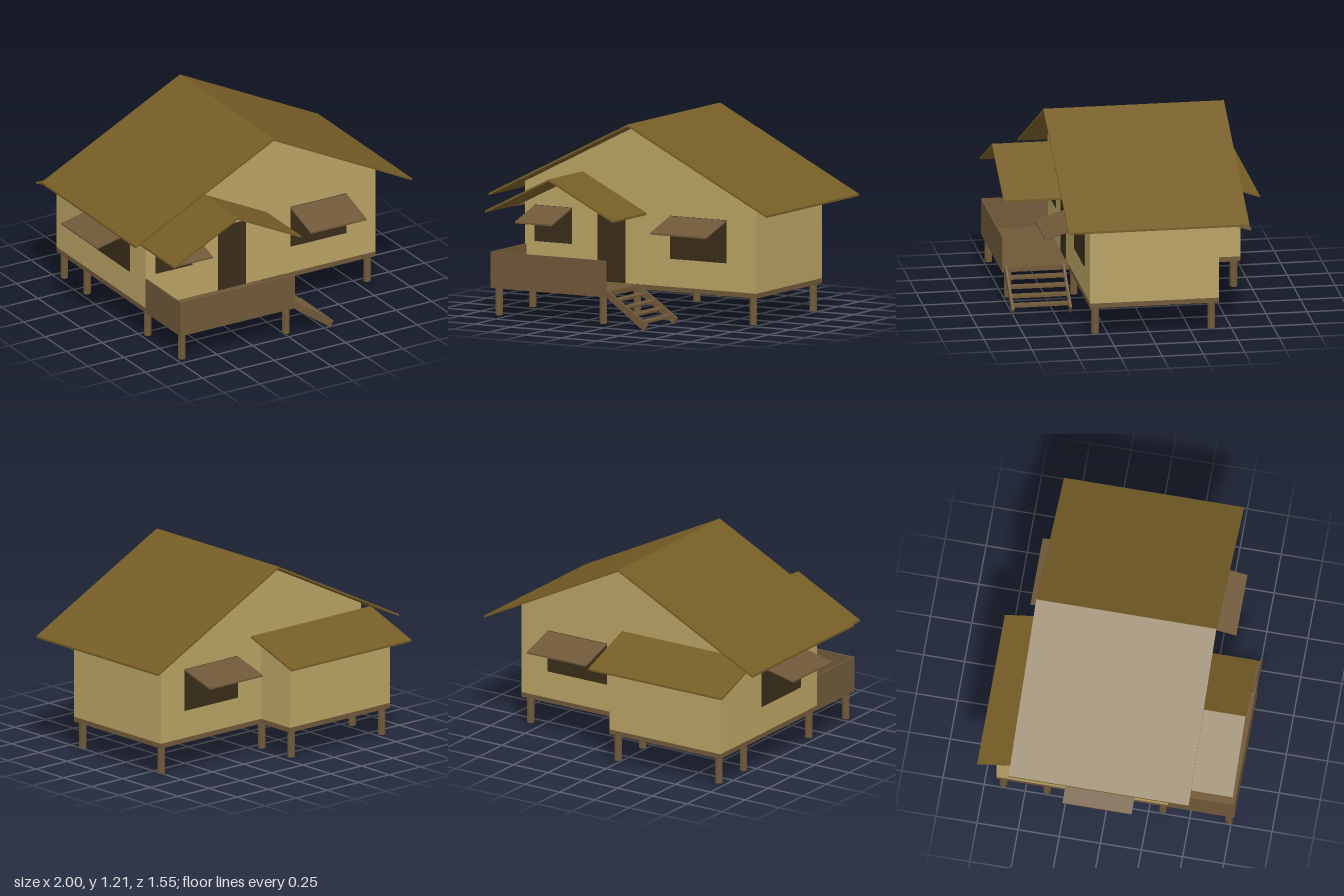
import * as THREE from 'three';

const mat = (color) => new THREE.MeshStandardMaterial({ color, flatShading: true });

export function createModel() {
  const house = new THREE.Group();
  const wall = mat(0xb8a264), thatch = mat(0x765d26), wood = mat(0x6f5838), dark = mat(0x3a2d19);

  const add = (name, geometry, material, parent = house) => {
    const mesh = new THREE.Mesh(geometry, material);
    mesh.name = name;
    parent.add(mesh);
    return mesh;
  };
  // Box given by its minimum and maximum corners
  const box = (name, material, x0, x1, y0, y1, z0, z1, parent) => {
    const mesh = add(name, new THREE.BoxGeometry(x1 - x0, y1 - y0, z1 - z0), material, parent);
    mesh.position.set((x0 + x1) / 2, (y0 + y1) / 2, (z0 + z1) / 2);
    return mesh;
  };
  const extrude = (points, depth) => new THREE.ExtrudeGeometry(
    new THREE.Shape(points.map(([x, y]) => new THREE.Vector2(x, y))), { depth, bevelEnabled: false });
  // Profile in x and y, running from z0 to z1
  const alongZ = (points, z0, z1) => extrude(points, z1 - z0).translate(0, 0, z0);
  // Profile in z and y, running from x0 to x1
  const alongX = (points, x0, x1) =>
    extrude(points.map(([z, y]) => [-z, y]), x1 - x0).rotateY(Math.PI / 2).translate(x0, 0, 0);

  // Floor slab: main room, back annex and porch
  const outline = [[-0.77, -0.775], [0.03, -0.775], [0.03, -0.37], [0.835, -0.37],
    [0.835, 0.41], [0.03, 0.41], [0.03, 0.67], [-0.77, 0.67]];
  add('floor', extrude(outline, 0.03).rotateX(-Math.PI / 2).translate(0, 0.19, 0), wood);

  // Main room with gable ends, and the lower annex behind it
  add('mainWalls', alongZ([[-0.77, 0.22], [0.835, 0.22], [0.835, 0.785], [0.03, 1.188], [-0.77, 0.788]],
    -0.41, 0.37), wall);
  add('annexWalls', alongX([[-0.41, 0.22], [-0.41, 0.735], [-0.67, 0.642], [-0.67, 0.22]], -0.77, 0.03), wall);

  // Thin gable roofs
  const gable = (name, cx, half, peak, eave, z0, z1) => {
    const t = 0.013;
    add(name, alongZ([[cx - half, eave - t], [cx, peak - t], [cx + half, eave - t],
      [cx + half, eave], [cx, peak], [cx - half, eave]], z0, z1), thatch);
  };
  gable('mainRoof', 0.033, 0.965, 1.205, 0.722, -0.57, 0.525);
  gable('porchRoof', -0.368, 0.443, 0.875, 0.655, 0.37, 0.772);
  add('annexRoof', alongX([[-0.41, 0.74], [-0.41, 0.752], [-0.775, 0.622], [-0.775, 0.61]], -0.85, 0.112), thatch);

  // Porch rail panels, open on the stair side
  box('porchFrontRail', wood, -0.77, 0.03, 0.22, 0.41, 0.765, 0.775);
  box('porchSideRail', wood, -0.77, -0.76, 0.22, 0.41, 0.37, 0.765);

  // Door
  box('door', dark, -0.265, -0.07, 0.22, 0.637, 0.365, 0.374);

  // Windows with propped shutters, built facing +z and turned to their wall
  const windowUnit = (name, width, bottom, drop, reach, x, z, turn) => {
    const unit = new THREE.Group();
    unit.name = name;
    box('opening', dark, -width / 2, width / 2, bottom, 0.65, -0.005, 0.004, unit);
    add('shutter', alongX([[0, 0.64], [reach, 0.64 - drop], [reach, 0.65 - drop], [0, 0.65]],
      -width / 2, width / 2), wood, unit);
    unit.position.set(x, 0, z);
    unit.rotation.y = turn;
    house.add(unit);
  };
  windowUnit('porchWindow', 0.255, 0.43, 0.075, 0.24, -0.572, 0.37, 0);
  windowUnit('frontWindow', 0.39, 0.39, 0.075, 0.24, 0.435, 0.37, 0);
  windowUnit('backWindow', 0.425, 0.39, 0.07, 0.228, 0.433, -0.41, Math.PI);
  windowUnit('sideWindow', 0.42, 0.39, 0.05, 0.23, -0.77, -0.02, -Math.PI / 2);

  // Stilts
  const stilt = new THREE.CylinderGeometry(0.023, 0.023, 0.165, 10);
  const spots = [[0.797, 0.335], [0.797, -0.37]];
  for (const x of [-0.735, -0.01]) for (const z of [0.735, 0.335, -0.37, -0.635]) spots.push([x, z]);
  for (const [x, z] of spots) add('stilt', stilt, wood).position.set(x, 0.1075, z);

  // Stairs beside the porch
  const side = [[0.03, 0.183], [0.285, 0.0], [0.31, 0.04], [0.03, 0.23]];
  for (const z of [0.395, 0.745]) add('stairStringer', alongZ(side, z, z + 0.014), wood);
  for (let i = 0; i < 4; i++) {
    const x = 0.08 + i * 0.06, y = 0.172 - i * 0.04;
    box('stairTread', wood, x - 0.027, x + 0.027, y - 0.007, y + 0.007, 0.405, 0.75);
  }
  return house;
}
